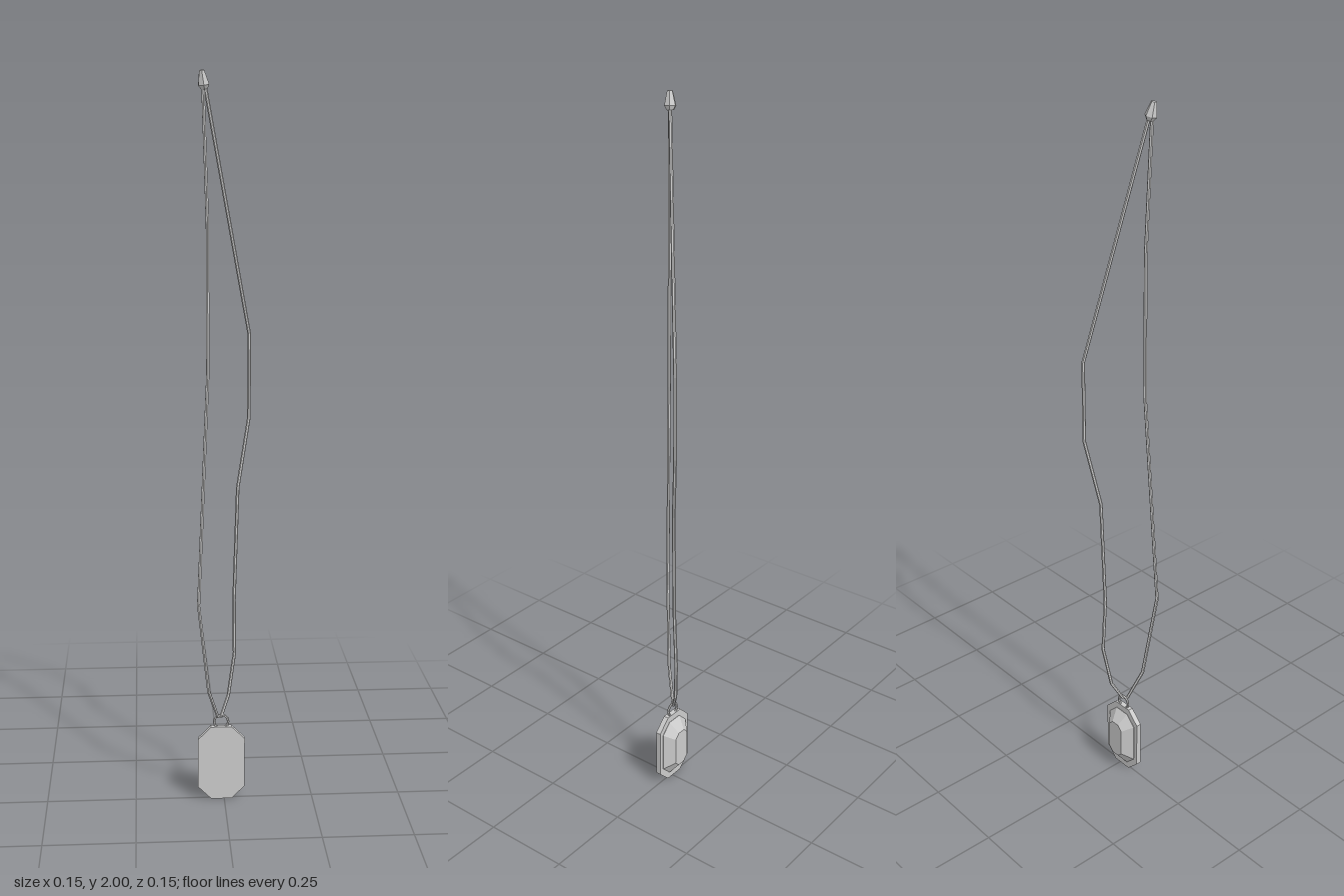
import * as THREE from 'three';

const material = new THREE.MeshStandardMaterial({ color: 0xcccccc, flatShading: true });

function add(parent, name, geometry, x = 0, y = 0, z = 0) {
  const mesh = new THREE.Mesh(geometry, material);
  mesh.name = name;
  mesh.position.set(x, y, z);
  parent.add(mesh);
  return mesh;
}

// Rectangle with cut corners, counter-clockwise seen from the front
function octagon({ w, h, c, z }) {
  return [
    [w, c - h], [w, h - c], [w - c, h], [c - w, h],
    [-w, h - c], [-w, c - h], [c - w, -h], [w - c, -h],
  ].map(([x, y]) => [x, y, z]);
}

// Closed solid through octagonal sections, listed from front to back
function loftOctagons(sections) {
  const rings = sections.map(octagon);
  const first = rings[0], last = rings[rings.length - 1];
  const positions = [];
  const tri = (...points) => points.forEach((p) => positions.push(...p));
  for (let k = 0; k < 8; k++) {
    const n = (k + 1) % 8;
    for (let i = 0; i < rings.length - 1; i++) {
      const a = rings[i][k], b = rings[i][n], c = rings[i + 1][n], d = rings[i + 1][k];
      tri(a, d, c);
      tri(a, c, b);
    }
    tri([0, 0, first[0][2]], first[k], first[n]);
    tri([0, 0, last[0][2]], last[n], last[k]);
  }
  const geometry = new THREE.BufferGeometry();
  geometry.setAttribute('position', new THREE.Float32BufferAttribute(positions, 3));
  geometry.computeVertexNormals();
  return geometry;
}

// Angular path: one tube ring at each point, mitred at the bends
class Polyline extends THREE.Curve {
  constructor(points) {
    super();
    this.points = points;
  }
  getPoint(t, target = new THREE.Vector3()) {
    const s = t * (this.points.length - 1);
    const i = Math.min(Math.floor(s + 1e-6), this.points.length - 2);
    return target.lerpVectors(this.points[i], this.points[i + 1], s - i);
  }
  getPointAt(u, target) {
    return this.getPoint(u, target);
  }
  getTangentAt(u, target = new THREE.Vector3()) {
    const p = this.points, n = p.length - 1, i = Math.round(u * n);
    target.set(0, 0, 0);
    if (i > 0) target.add(p[i].clone().sub(p[i - 1]).normalize());
    if (i < n) target.add(p[i + 1].clone().sub(p[i]).normalize());
    return target.normalize();
  }
}

export function createModel() {
  const model = new THREE.Group();
  model.name = 'necklace';

  // Cord: down one side, through the ring and back up to the clasp
  const cordPoints = [
    [-0.056, 1.97, 0.046], [-0.045, 1.62, 0.039], [-0.045, 1.23, 0.041],
    [-0.073, 0.6, 0.068], [-0.045, 0.34, 0.041], [-0.018, 0.25, 0.007],
    [-0.008, 0.247, -0.003], [0.014, 0.3, -0.028], [0.032, 0.42, -0.044],
    [0.03, 0.58, -0.036], [0.04, 0.9, -0.041], [0.072, 1.09, -0.07],
    [0.072, 1.32, -0.07], [-0.052, 1.97, 0.043],
  ].map((p) => new THREE.Vector3(...p));
  const cord = new Polyline(cordPoints);
  add(model, 'cord', new THREE.TubeGeometry(cord, cordPoints.length - 1, 0.0048, 6, false));

  // Clasp: six-sided tapering bead, leaning outwards
  const claspProfile = [[0, 0], [0.009, 0], [0.016, 0.011], [0.0075, 0.046], [0, 0.048]]
    .map(([r, y]) => new THREE.Vector2(r, y));
  const clasp = add(model, 'clasp', new THREE.LatheGeometry(claspProfile, 6), -0.052, 1.953, 0.042);
  clasp.rotation.set(0.15, 0, 0.15);

  // Pendant: backing plate with a faceted gem on its rear side
  const pendant = new THREE.Group();
  pendant.name = 'pendant';
  pendant.position.set(-0.008, 0.11, 0);
  model.add(pendant);

  add(pendant, 'plate', loftOctagons([
    { w: 0.066, h: 0.109, c: 0.037, z: 0.009 },
    { w: 0.066, h: 0.109, c: 0.037, z: -0.006 },
  ]));
  add(pendant, 'gem', loftOctagons([
    { w: 0.053, h: 0.09, c: 0.03, z: -0.004 },
    { w: 0.053, h: 0.09, c: 0.03, z: -0.007 },
    { w: 0.027, h: 0.057, c: 0.015, z: -0.033 },
  ]));
  add(pendant, 'ring', new THREE.TorusGeometry(0.02, 0.0035, 6, 12), 0, 0.122, 0);

  return model;
}
